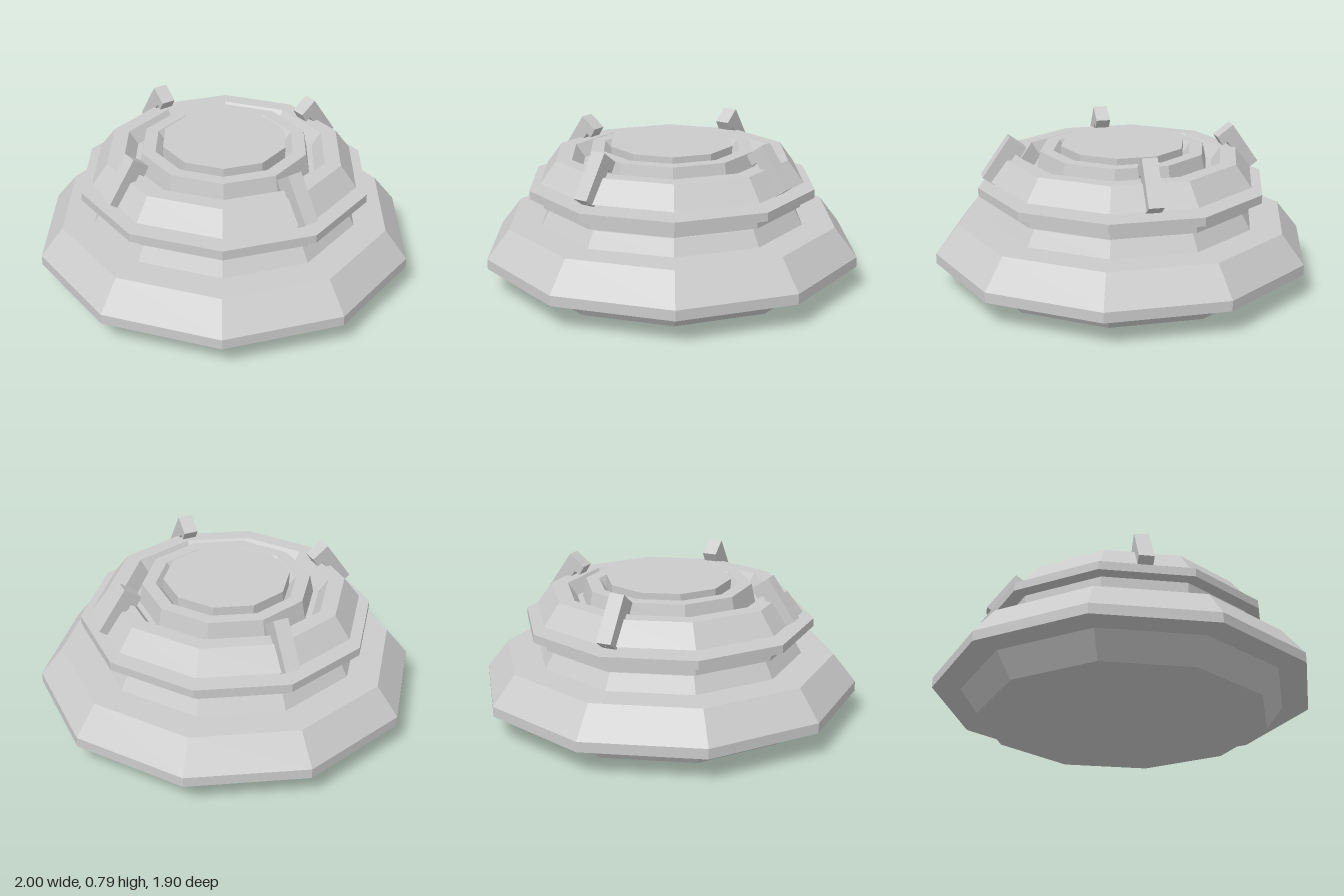
import * as THREE from 'three';

const SIDES = 10;

export function createModel() {
  const model = new THREE.Group();
  model.name = 'turretBase';
  const mat = new THREE.MeshStandardMaterial({ color: 0xcccccc, flatShading: true });

  // Ten-sided solid from a bottom-to-top profile, with a corner on +x
  function turned(name, profile) {
    const points = profile.map(([r, y]) => new THREE.Vector2(r, y));
    const mesh = new THREE.Mesh(new THREE.LatheGeometry(points, SIDES, Math.PI / 2), mat);
    mesh.name = name;
    model.add(mesh);
  }

  // Plain prism ring layer
  const layer = (name, r, y0, y1) => turned(name, [[0, y0], [r, y0], [r, y1], [0, y1]]);

  // Wide skirt on a tapered foot
  turned('skirt', [
    [0, 0], [0.765, 0], [0.855, 0.127], [1, 0.127], [1, 0.18],
    [0.88, 0.33], [0.71, 0.33], [0.665, 0.41], [0, 0.41],
  ]);

  // Stacked collars above the narrow gap
  layer('lowerCollar', 0.695, 0.424, 0.48);
  layer('wideCollar', 0.768, 0.48, 0.524);
  layer('upperCollar', 0.61, 0.524, 0.556);

  // Sloped crown with a recessed channel, inner ring and groove
  turned('crown', [
    [0, 0.556], [0.71, 0.556], [0.625, 0.668], [0.54, 0.668], [0.49, 0.6],
    [0.46, 0.6], [0.44, 0.7], [0.37, 0.7], [0.33, 0.65], [0, 0.65],
  ]);
  layer('centerDisc', 0.33, 0.65, 0.722);

  // Four hooked clamps leaning over the crown
  const outline = [
    [0.745, 0.583], [0.685, 0.54], [0.572, 0.698],
    [0.545, 0.679], [0.515, 0.727], [0.6, 0.79],
  ].map(([x, y]) => new THREE.Vector2(x, y));
  const width = 0.078;
  const clampGeo = new THREE.ExtrudeGeometry(new THREE.Shape(outline), { depth: width, bevelEnabled: false });
  clampGeo.translate(0, 0, -width / 2);
  ['leftClamp', 'backClamp', 'rightClamp', 'frontClamp'].forEach((name, i) => {
    const clamp = new THREE.Mesh(clampGeo, mat);
    const inset = i % 2 ? -0.028 : 0;
    const angle = (i * Math.PI) / 2;
    clamp.name = name;
    clamp.rotation.y = angle;
    clamp.position.set(Math.cos(angle) * inset, 0, -Math.sin(angle) * inset + (i % 2 ? 0 : 0.013));
    model.add(clamp);
  });

  return model;
}
